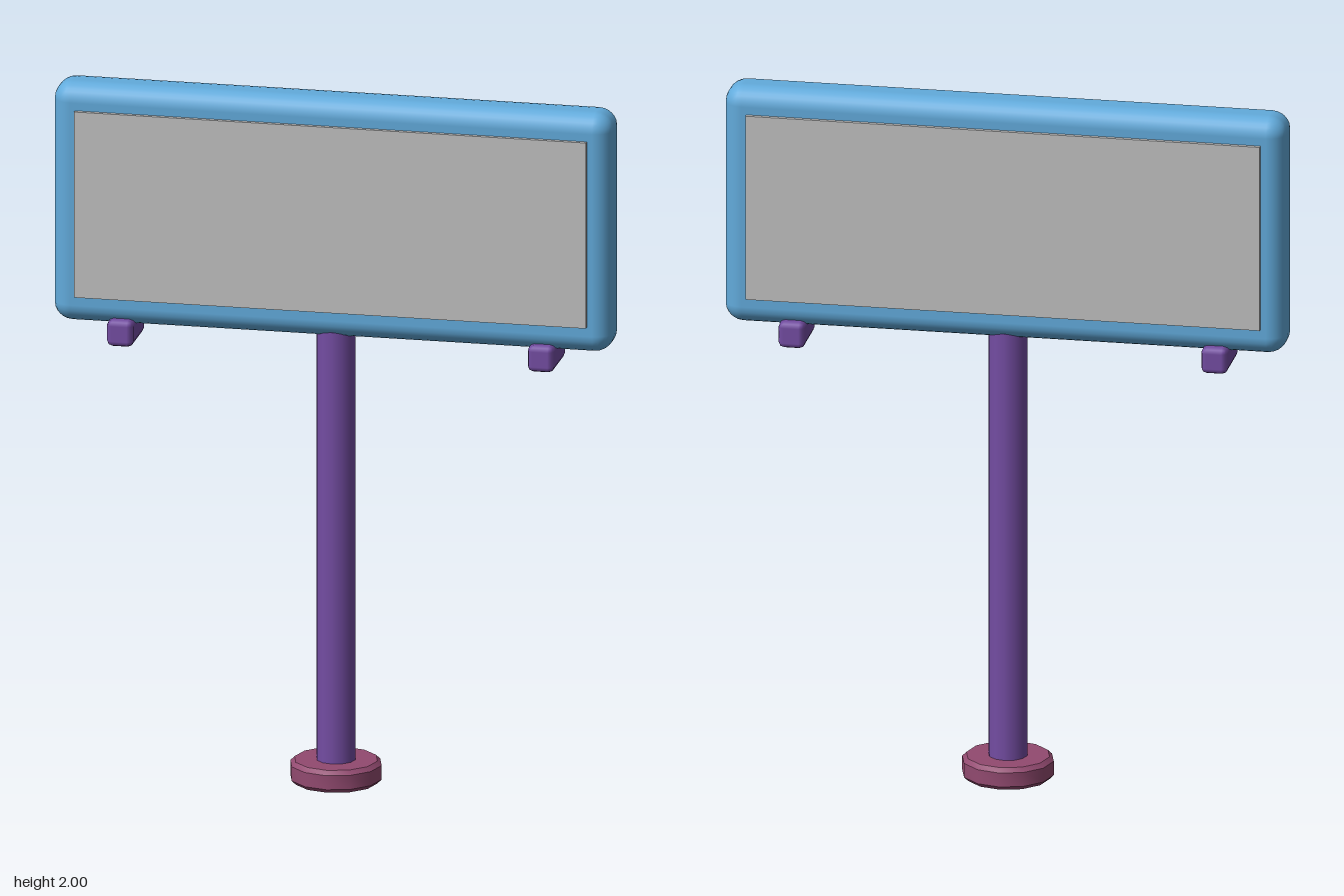
import * as THREE from 'three';
import { toCreasedNormals } from 'three/addons/utils/BufferGeometryUtils.js';
import { RoundedBoxGeometry } from 'three/addons/geometries/RoundedBoxGeometry.js';

export function createModel() {
  const model = new THREE.Group();
  model.name = 'billboard';

  const material = (name, color) => {
    const m = new THREE.MeshStandardMaterial({ color });
    m.name = name;
    return m;
  };
  const blue = material('frameBlue', 0x62abdc);
  const grey = material('panelGrey', 0xc0c0c0);
  const purple = material('postPurple', 0x744da3);
  const plum = material('basePlum', 0x924a70);

  const add = (name, geometry, mat, x, y, z) => {
    const mesh = new THREE.Mesh(geometry, mat);
    mesh.name = name;
    mesh.position.set(x, y, z);
    model.add(mesh);
    return mesh;
  };

  // Foot: a twelve-sided disc with a small bevel on both rims
  const footProfile = [
    [0, 0], [0.118, 0], [0.13, 0.012], [0.13, 0.053], [0.118, 0.065], [0, 0.065],
  ].map(([r, y]) => new THREE.Vector2(r, y));
  add('base', toCreasedNormals(new THREE.LatheGeometry(footProfile, 12), 0.6), plum, 0, 0, 0);

  // Post, running from the foot into the frame
  add('post', new THREE.CylinderGeometry(0.055, 0.055, 1.27, 12), purple, 0, 0.685, 0);

  // Rounded sign body
  add('frame', new RoundedBoxGeometry(1.595, 0.695, 0.14, 3, 0.053), blue, 0, 1.6525, 0);

  // Display slab standing proud on both faces
  add('displayPanel', new THREE.BoxGeometry(1.46, 0.54, 0.164), grey, 0, 1.655, 0);

  // Support brackets under the frame
  for (const side of [-1, 1]) {
    add(side > 0 ? 'leftBracket' : 'rightBracket',
      new RoundedBoxGeometry(0.075, 0.076, 0.178, 1, 0.016), purple, side * 0.6, 1.287, 0);
  }

  return model;
}
